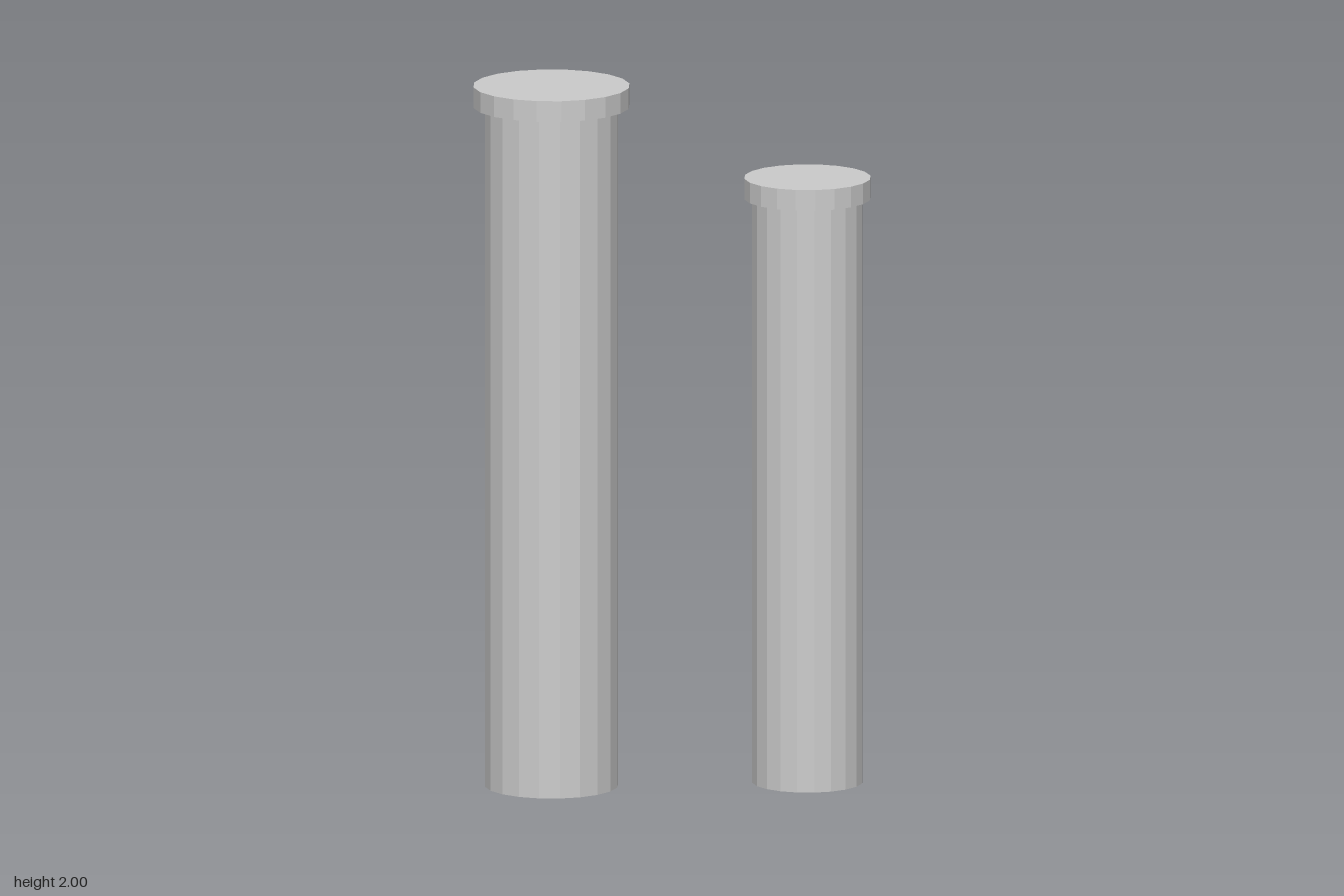
import * as THREE from 'three';

const SIDES = 20;
const CAP_HEIGHT = 0.059;

// Faceted cylinder standing on height y
function drum(name, radius, height, y, material) {
  const mesh = new THREE.Mesh(new THREE.CylinderGeometry(radius, radius, height, SIDES), material);
  mesh.name = name;
  mesh.position.y = y + height / 2;
  return mesh;
}

// Round column: a plain shaft with a wider flat cap on top
function column({ name, x, z, height, shaftRadius, capRadius }, material) {
  const group = new THREE.Group();
  group.name = name;
  const shaftHeight = height - CAP_HEIGHT;
  group.add(
    drum('shaft', shaftRadius, shaftHeight, 0, material),
    drum('cap', capRadius, CAP_HEIGHT, shaftHeight, material),
  );
  group.position.set(x, 0, z);
  return group;
}

export function createModel() {
  const material = new THREE.MeshStandardMaterial({ color: 0xcccccc, flatShading: true });
  const model = new THREE.Group();
  model.name = 'columnPair';
  model.add(
    column({ name: 'tallColumn', x: -0.338, z: 0, height: 2, shaftRadius: 0.188, capRadius: 0.22 }, material),
    column({ name: 'shortColumn', x: 0.379, z: 0.041, height: 1.727, shaftRadius: 0.156, capRadius: 0.178 }, material),
  );
  return model;
}
